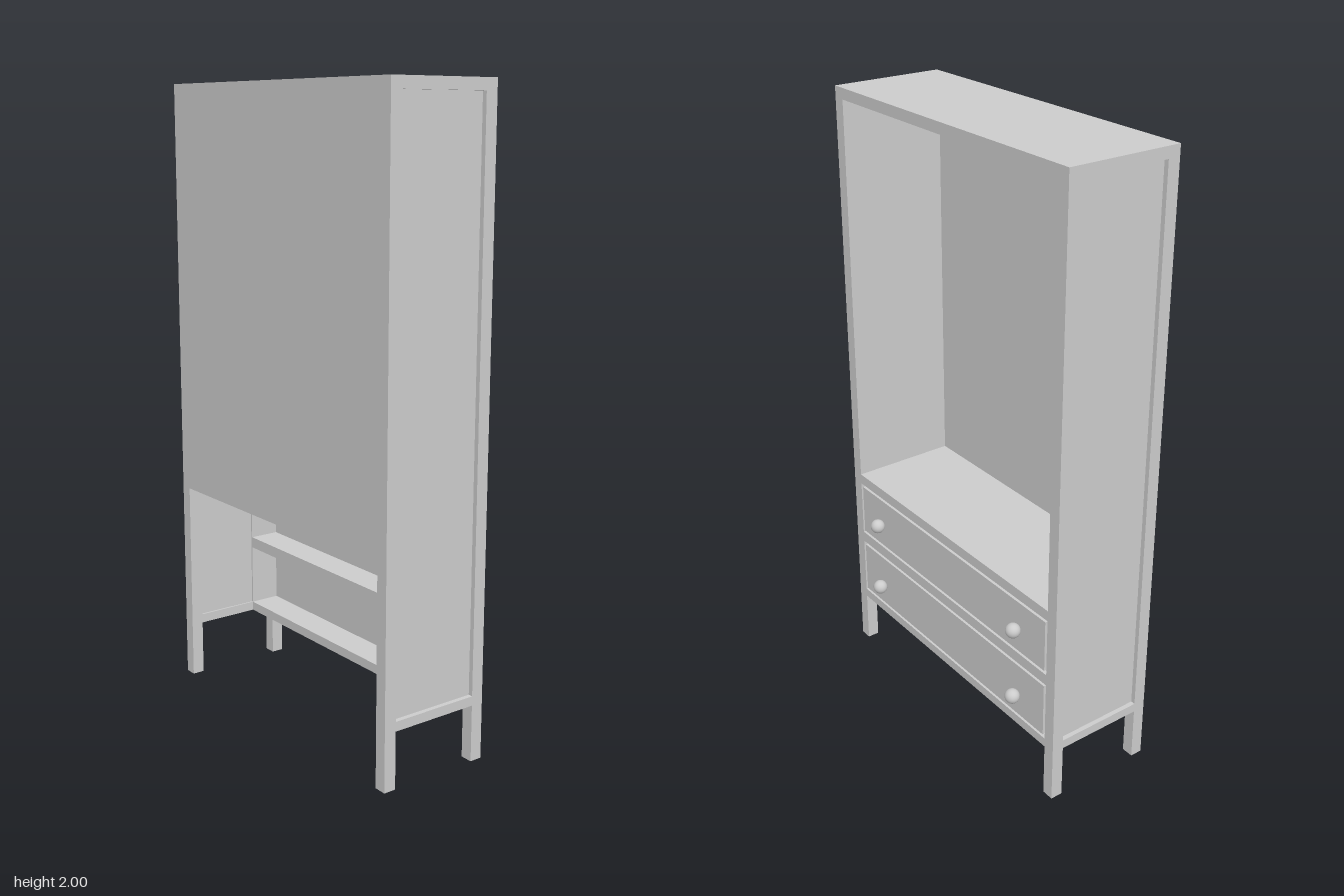
import * as THREE from 'three';

const mat = new THREE.MeshStandardMaterial({ color: 0xcccccc });

// Box given by its min and max on each axis
function slab(parent, name, x0, x1, y0, y1, z0, z1) {
  const mesh = new THREE.Mesh(new THREE.BoxGeometry(x1 - x0, y1 - y0, z1 - z0), mat);
  mesh.position.set((x0 + x1) / 2, (y0 + y1) / 2, (z0 + z1) / 2);
  mesh.name = name;
  parent.add(mesh);
  return mesh;
}

// Same box on both ends of the cabinet, between distances a and b from the middle
function pair(parent, name, x0, x1, y0, y1, a, b) {
  slab(parent, name + 'Left', x0, x1, y0, y1, a, b);
  slab(parent, name + 'Right', x0, x1, y0, y1, -b, -a);
}

export function createModel() {
  const cabinet = new THREE.Group();
  cabinet.name = 'cabinet';
  const back = -0.21, front = 0.163, post = 0.04;
  const half = 0.55, inner = half - post;
  const top = 2, ceiling = 1.965, shelfTop = 0.68, base = 0.18;
  const frameBack = 0.04;

  // Corner posts running down into legs
  pair(cabinet, 'frontPost', front - post, front, 0, ceiling, inner, half);
  pair(cabinet, 'backPost', back, back + post, 0, ceiling, inner, half);

  // Side frames with recessed panels
  pair(cabinet, 'sideRail', back + post, front - post, base, 0.21, inner, half);
  pair(cabinet, 'sidePanel', back + post, front - post, 0.21, ceiling, inner + 0.006, half - 0.015);
  pair(cabinet, 'compartmentLining', back + post, front - post, shelfTop, ceiling, inner, inner + 0.006);

  // Top, back and shelf of the open compartment
  slab(cabinet, 'top', back, front, ceiling, top, -half, half);
  slab(cabinet, 'backPanel', back, back + 0.02, shelfTop - 0.01, ceiling, -half, half);
  slab(cabinet, 'shelf', back + 0.02, frameBack, shelfTop - 0.01, shelfTop, -inner, inner);

  // Drawer frame, shallow and open behind
  for (const [y0, y1] of [[base, 0.21], [0.413, 0.45], [0.645, shelfTop]]) {
    slab(cabinet, 'drawerRail', frameBack, front, y0, y1, -inner, inner);
  }
  pair(cabinet, 'drawerFrameSide', frameBack, front - post, 0.21, shelfTop, inner, inner + 0.006);

  // Drawers: inset front, backing and two round knobs
  const knobGeometry = new THREE.SphereGeometry(0.024, 20, 14);
  for (const [y0, y1] of [[0.21, 0.413], [0.45, 0.645]]) {
    const drawer = new THREE.Group();
    drawer.name = 'drawer';
    slab(drawer, 'drawerBacking', front - 0.022, front - 0.015, y0, y1, -inner, inner);
    slab(drawer, 'drawerFront', front - 0.015, front, y0 + 0.01, y1 - 0.01, -inner + 0.01, inner - 0.01);
    for (const side of [-1, 1]) {
      const knob = new THREE.Mesh(knobGeometry, mat);
      knob.position.set(0.186, (y0 + y1) / 2 - (y0 < 0.3 ? 0.012 : 0.002), side * 0.376);
      knob.name = 'knob';
      drawer.add(knob);
    }
    cabinet.add(drawer);
  }
  return cabinet;
}
